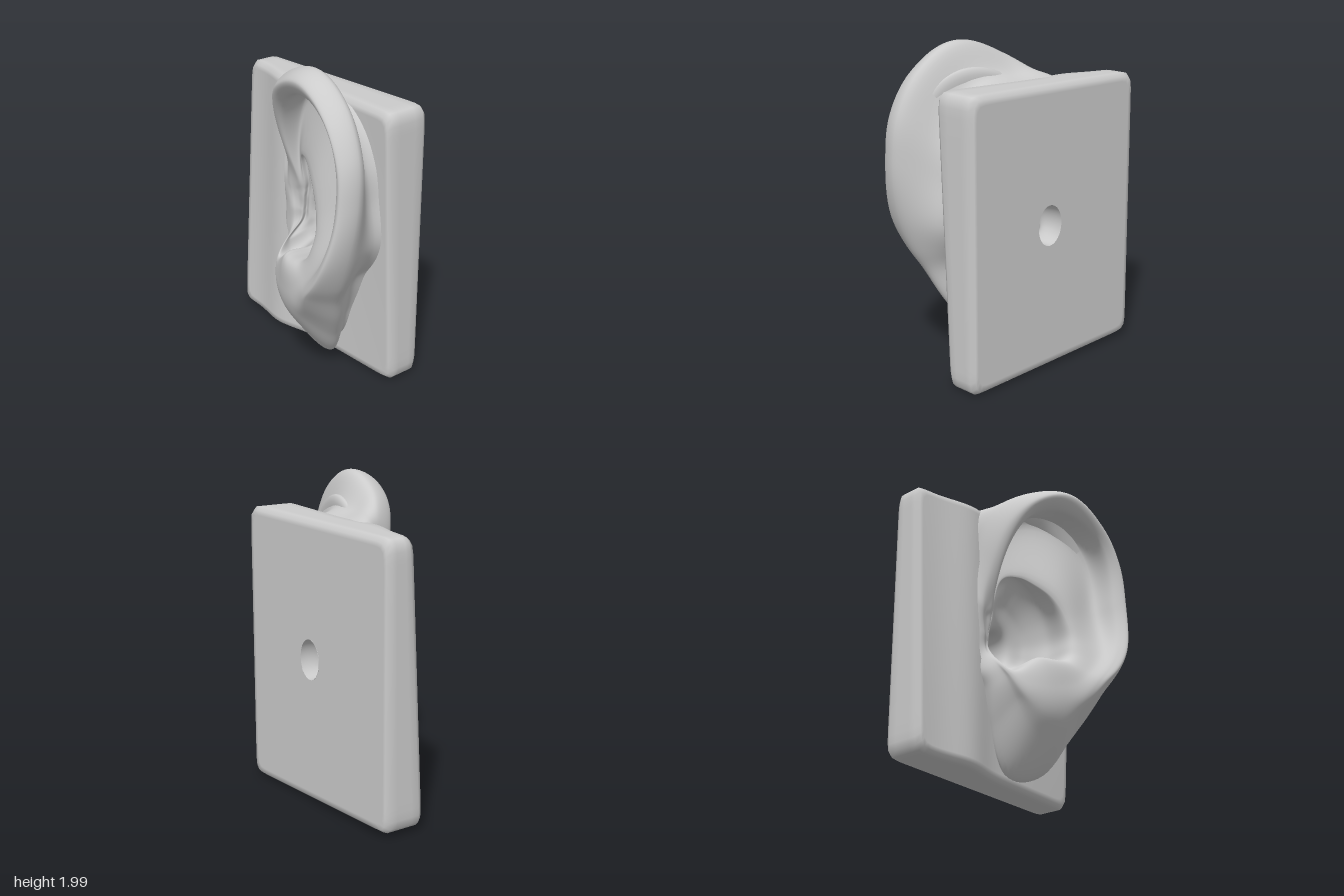
import * as THREE from 'three';

const CX = 0.01, CY = 0.92; // centre of the ear canal
const SIDES = 192;

// Smooth periodic interpolation of values spaced evenly around the circle
function around(vals, a) {
  const n = vals.length, u = (a / (Math.PI * 2)) * n, i = Math.floor(u), t = u - i;
  const v = (k) => vals[(i + k + n) % n];
  const p0 = v(-1), p1 = v(0), p2 = v(1), p3 = v(2);
  return p1 + 0.5 * t * (p2 - p0 + t * (2 * p0 - 5 * p1 + 4 * p2 - p3 + t * (3 * (p1 - p2) + p3 - p0)));
}

// Skin a set of profiles, one per angle, into a closed smooth surface
function loft(profileAt) {
  const pos = [], idx = [];
  let rows = 0;
  for (let j = 0; j < SIDES; j++) {
    const profile = profileAt((j / SIDES) * Math.PI * 2);
    rows = profile.length;
    for (const p of profile) pos.push(p.x, p.y, p.z);
  }
  for (let j = 0; j < SIDES; j++) {
    const k = (j + 1) % SIDES;
    for (let i = 0; i < rows - 1; i++) {
      const a = j * rows + i, b = k * rows + i;
      idx.push(a, b, a + 1, b, b + 1, a + 1);
    }
  }
  const g = new THREE.BufferGeometry();
  g.setAttribute('position', new THREE.Float32BufferAttribute(pos, 3));
  g.setIndex(idx);
  g.computeVertexNormals();
  return g;
}

const polar = (a, r, z) => new THREE.Vector3(CX + Math.cos(a) * r, CY + Math.sin(a) * r, z);
const holeR = (a) => 1 / Math.hypot(Math.cos(a) / 0.098, Math.sin(a) / 0.125);
const backZ = (x) => -0.36 - 0.025 * x;

// Ear outline radius every 15 degrees, anticlockwise from +x
const OUTLINE = [0.655, 0.73, 0.84, 0.985, 1.09, 1.115, 1.0, 0.85, 0.58, 0.42, 0.33, 0.28,
  0.26, 0.27, 0.3, 0.35, 0.42, 0.58, 0.84, 0.85, 0.71, 0.63, 0.59, 0.61];
const OUTLINE_Z = [0.22, 0.2, 0.15, 0.09, -0.1, -0.085, -0.085, -0.085, -0.03, -0.1, 0.04, 0.17];

// Neck behind the ear and its foot in the plate, as shares of the outline
const NECK = [0.84, 0.74, 0.76, 0.87, 1.2, 1.25, 1.25, 1.25, 1.03, 0.97, 0.84, 0.8];
const NECK_Z = [-0.06, -0.04, -0.01, -0.05, -0.13, -0.11, -0.11, -0.11, -0.1, -0.14, -0.1, -0.06];
const ROOT = [0.88, 0.8, 0.78, 0.85, 1.3, 1.45, 1.5, 1.45, 1.1, 0.95, 0.87, 0.86];

// Rolled rim: frontmost crest (share of the outline) and its inner edge (radius)
const CREST = [0.91, 0.94, 0.94, 0.93, 0.8, 0.86, 0.86, 0.84, 0.87, 0.72, 0.77, 0.82];
const CREST_Z = [0.37, 0.32, 0.29, 0.21, -0.03, -0.08, -0.085, -0.075, 0.05, 0.1, 0.23, 0.34];
const LIP = [0.54, 0.71, 0.97, 0.84, 0.34, 0.25, 0.205, 0.235, 0.36, 0.49, 0.47, 0.445];
const LIP_Z = [0.34, 0.28, 0.24, 0.14, -0.05, -0.09, -0.095, -0.08, 0.08, 0.18, 0.27, 0.33];

// Groove inside the rim, then the ridge that hangs over the bowl
const GROOVE = [0.48, 0.67, 0.97, 0.83, 0.3, 0.22, 0.185, 0.22, 0.345, 0.36, 0.36, 0.38];
const GROOVE_Z = [0.26, 0.15, 0.07, -0.05, -0.08, -0.1, -0.105, -0.085, 0.09, 0.2, 0.26, 0.28];
const RIDGE = [0.29, 0.315, 0.335, 0.36, 0.385, 0.405, 0.425, 0.4, 0.25, 0.195, 0.17, 0.16,
  0.16, 0.17, 0.2, 0.27, 0.32, 0.22, 0.17, 0.17, 0.185, 0.21, 0.25, 0.275];
const RIDGE_Z = [0.18, 0.15, 0.1, 0.0, -0.1, -0.11, -0.115, -0.09, 0.08, 0.16, 0.2, 0.2];

// Ear cross-section from the plate, over the rim, into the bowl and canal
function earProfile(a) {
  const R = around(OUTLINE, a), ridge = around(RIDGE, a), ridgeZ = around(RIDGE_Z, a), h = holeR(a);
  const root = polar(a, R * around(ROOT, a), -0.2);
  root.y = THREE.MathUtils.clamp(root.y, 0.06, 1.74);
  const points = [
    root,
    polar(a, R * around(NECK, a), around(NECK_Z, a)),
    polar(a, R, around(OUTLINE_Z, a)),
    polar(a, R * around(CREST, a), around(CREST_Z, a)),
    polar(a, around(LIP, a), around(LIP_Z, a)),
    polar(a, around(GROOVE, a), around(GROOVE_Z, a)),
    polar(a, ridge, ridgeZ),
    polar(a, ridge * 1.02, Math.min(ridgeZ - 0.03, -0.04)),
    polar(a, (ridge + h) / 2, -0.14),
    polar(a, h, -0.2),
    polar(a, h, backZ(CX)),
  ];
  return new THREE.CatmullRomCurve3(points).getPoints(100);
}

// Slightly twisted plate front with a soft swelling beside the ear
function frontZ(x, y) {
  return -0.12 + 0.07 * x * (y - 0.9) + 0.05 * Math.exp(-(((x + 0.33) / 0.18) ** 2));
}

// Plate cross-section from the canal, across the back, round the edge to the front
function plateProfile(a) {
  const c = Math.cos(a), s = Math.sin(a), p = 30;
  const r = (Math.abs(c / 0.695) ** p + Math.abs(s / 0.87) ** p) ** (-1 / p);
  const rect = (k) => {
    const x = -0.045 + c * r * k;
    return new THREE.Vector3(x, 0.895 + s * r * k * (1 + 0.022 * x), 0);
  };
  const root = polar(a, around(OUTLINE, a) * around(ROOT, a) * 0.72, 0);
  const back = (v) => v.setZ(backZ(v.x));
  const front = (v) => v.setZ(frontZ(v.x, v.y));
  const out = [back(polar(a, holeR(a), 0)), back(rect(0.6)), back(rect(0.94)), back(rect(0.975))];
  const edge = rect(1);
  const zb = backZ(edge.x) + 0.03, zf = frontZ(edge.x, edge.y) - 0.03;
  for (let i = 0; i <= 4; i++) out.push(edge.clone().setZ(THREE.MathUtils.lerp(zb, zf, i / 4)));
  out.push(front(rect(0.975)));
  const inner = rect(0.94);
  for (let i = 0; i <= 14; i++) out.push(front(inner.clone().lerp(root, i / 14)));
  return out;
}

export function createModel() {
  const group = new THREE.Group();
  group.name = 'earOnPlate';
  const material = new THREE.MeshStandardMaterial({ color: 0xcccccc, side: THREE.DoubleSide });
  const add = (name, profile) => {
    const mesh = new THREE.Mesh(loft(profile), material);
    mesh.name = name;
    group.add(mesh);
  };
  add('backPlate', plateProfile);
  add('ear', earProfile);
  return group;
}
